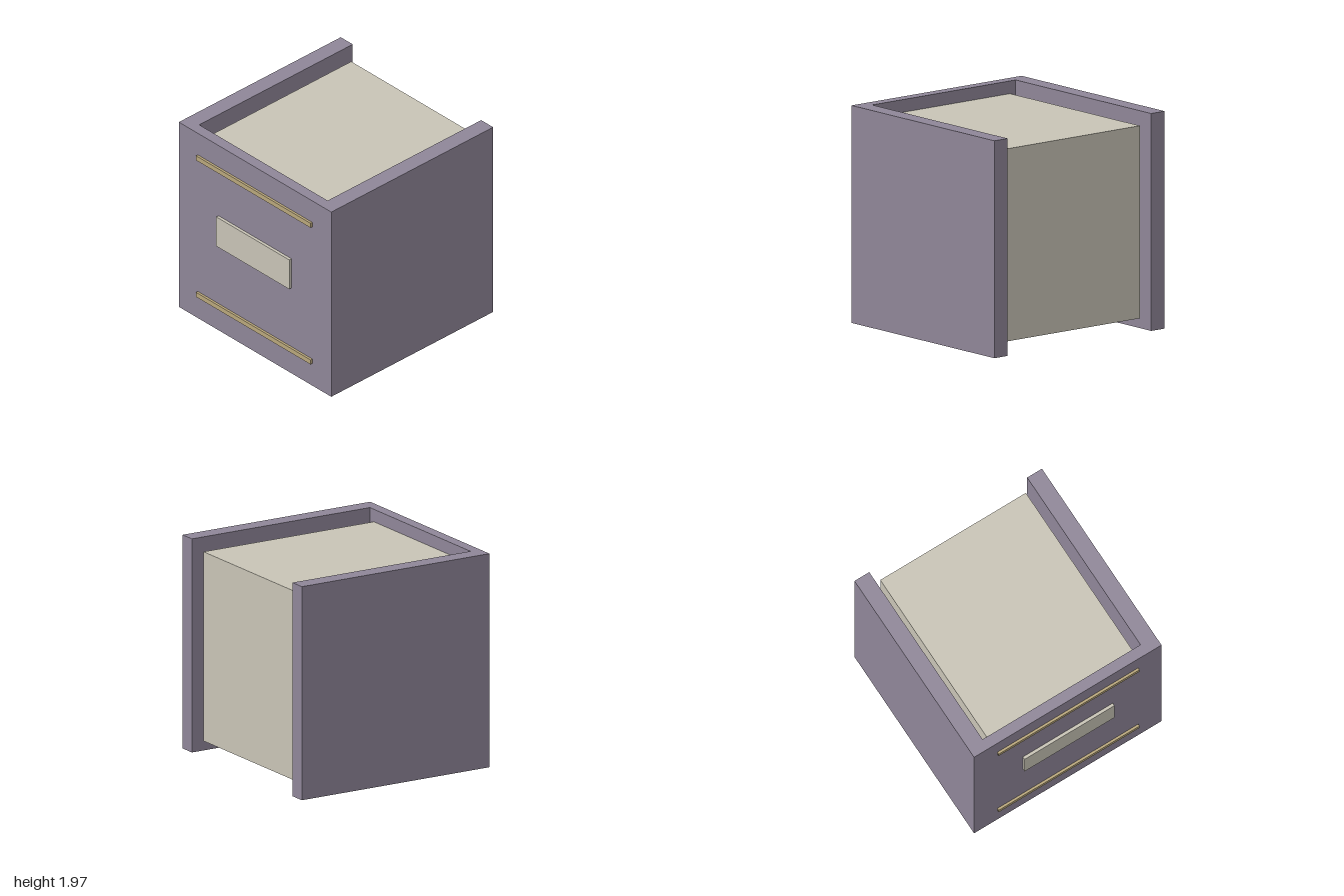
import * as THREE from 'three';

const purple = new THREE.MeshStandardMaterial({ name: 'dusty purple', color: 0x8f8698 });
const cream = new THREE.MeshStandardMaterial({ name: 'cream', color: 0xc8c4b6 });
const gold = new THREE.MeshStandardMaterial({ name: 'muted gold', color: 0xb9a77c });

// Box given by its limits along each axis
function block(name, material, [x0, x1], [y0, y1], [z0, z1]) {
  const mesh = new THREE.Mesh(new THREE.BoxGeometry(x1 - x0, y1 - y0, z1 - z0), material);
  mesh.position.set((x0 + x1) / 2, (y0 + y1) / 2, (z0 + z1) / 2);
  mesh.name = name;
  return mesh;
}

export function createModel() {
  const model = new THREE.Group();
  model.name = 'coveredBlock';
  const half = 0.985, inner = 0.83, height = 1.97, front = 0.972;

  // U-shaped cover, one solid outline extruded upwards (shape y becomes -z)
  const outline = new THREE.Shape([
    [-half, -front], [half, -front], [half, 1], [inner, 1],
    [inner, -0.87], [-inner, -0.87], [-inner, 1], [-half, 1],
  ].map(([x, y]) => new THREE.Vector2(x, y)));
  const coverGeometry = new THREE.ExtrudeGeometry(outline, { depth: height, bevelEnabled: false });
  coverGeometry.rotateX(-Math.PI / 2);
  const cover = new THREE.Mesh(coverGeometry, purple);
  cover.name = 'cover';
  model.add(cover);

  // Inner block, set in from the cover's edges
  model.add(block('innerBlock', cream, [-0.765, 0.765], [0.11, 1.855], [-0.92, 0.87]));

  // Raised front details
  model.add(block('labelPlate', cream, [-0.472, 0.472], [0.91, 1.222], [front, 1]));
  model.add(block('lowerStripe', gold, [-0.74, 0.74], [0.236, 0.284], [front, 0.994]));
  model.add(block('upperStripe', gold, [-0.74, 0.74], [1.693, 1.741], [front, 0.994]));

  return model;
}
